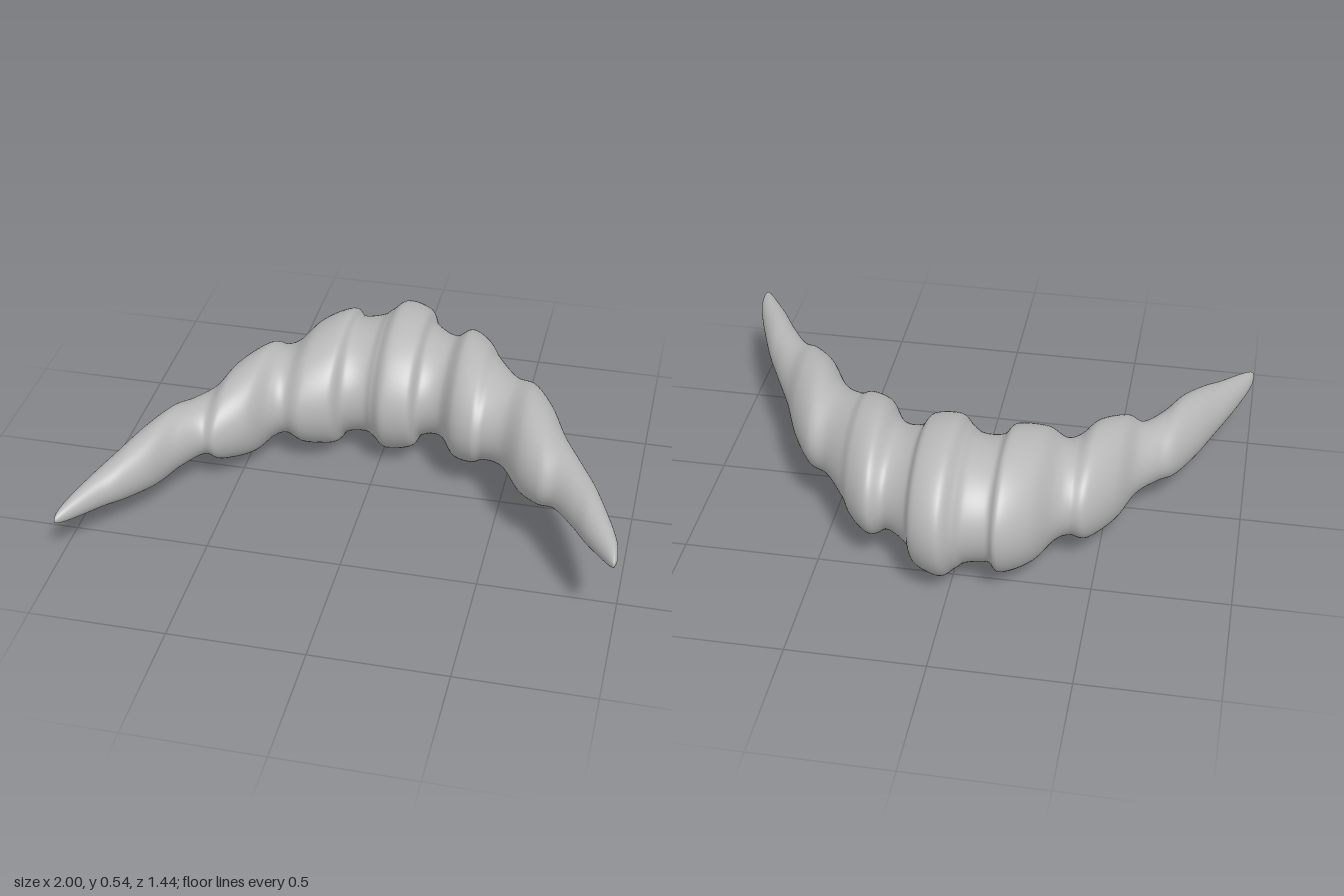
import * as THREE from 'three';

// Ringed body profile from the right tip to the left tip: [x, half height]
const PROFILE = [
  [-1, 0], [-0.993, 0.02], [-0.97, 0.037], [-0.93, 0.056], [-0.87, 0.08], [-0.81, 0.106],
  [-0.74, 0.122], [-0.68, 0.11], [-0.61, 0.114], [-0.55, 0.165], [-0.46, 0.19], [-0.4, 0.163],
  [-0.35, 0.168], [-0.28, 0.222], [-0.18, 0.245], [-0.135, 0.212], [-0.06, 0.215],
  [-0.02, 0.238], [0.03, 0.27], [0.12, 0.25], [0.16, 0.2], [0.24, 0.18], [0.305, 0.222],
  [0.38, 0.208], [0.43, 0.173], [0.51, 0.148], [0.59, 0.168], [0.67, 0.147], [0.74, 0.104],
  [0.82, 0.085], [0.88, 0.075], [0.95, 0.051], [0.985, 0.034], [0.996, 0.018], [1, 0],
];
const SEGMENTS = 400;
const SIDES = 64;

// Cross-sections stand in planes of constant x and follow a bent centre line
function buildBody() {
  const profile = new THREE.SplineCurve(PROFILE.map(([x, r]) => new THREE.Vector2(x, r)));
  const positions = [];
  const indices = [];
  for (let i = 0; i <= SEGMENTS; i++) {
    const p = profile.getPoint(i / SEGMENTS);
    const x = THREE.MathUtils.clamp(p.x, -1, 1);
    const height = Math.max(p.y, 0.0005);
    const depth = height * 1.23 * (1 + 0.58 * x * x);
    const centreY = 0.27 + 0.06 * x + 0.02 * x ** 3;
    const centreZ = -0.38 + 1.07 * x * x;
    for (let j = 0; j < SIDES; j++) {
      const a = (j / SIDES) * Math.PI * 2;
      positions.push(x, centreY + height * Math.cos(a), centreZ + depth * Math.sin(a));
      if (i === SEGMENTS) continue;
      const k = (j + 1) % SIDES;
      const a0 = i * SIDES + j, b0 = i * SIDES + k;
      indices.push(a0, b0, a0 + SIDES, b0, b0 + SIDES, a0 + SIDES);
    }
  }
  const geometry = new THREE.BufferGeometry();
  geometry.setAttribute('position', new THREE.Float32BufferAttribute(positions, 3));
  geometry.setIndex(indices);
  geometry.computeVertexNormals();
  return geometry;
}

export function createModel() {
  const group = new THREE.Group();
  group.name = 'ringedCrescent';
  const grey = new THREE.MeshStandardMaterial({ color: 0xb8b8b8 });
  grey.name = 'light grey';
  const body = new THREE.Mesh(buildBody(), grey);
  body.name = 'body';
  group.add(body);
  return group;
}
